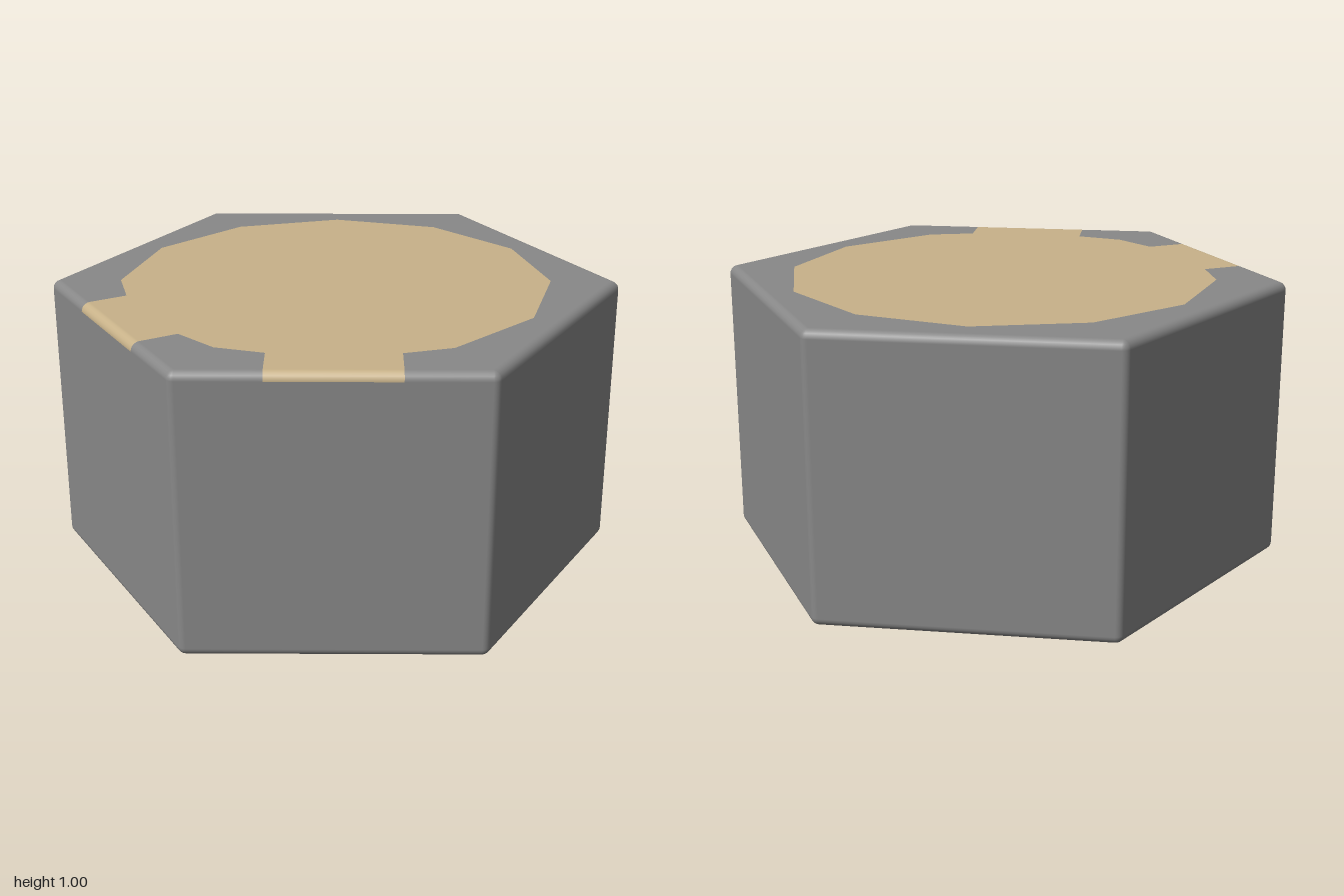
import * as THREE from 'three';

const CORE = 0.84;            // apothem of the flat faces inside the rounded edge
const R = 0.03;               // edge rounding
const H = 1.005;              // height
const DISC = 0.76;            // radius of the twelve-sided clearing
const MOUTH = 0.705;          // where a path leaves the clearing
const HALF = 0.215;           // half width of a path
const PATHS = [120, 180];     // sides crossed by a path, degrees from +x towards +z

const rad = THREE.MathUtils.degToRad;
const polar = (a, r) => [Math.cos(rad(a)) * r, Math.sin(rad(a)) * r];

// Point given by distance d towards side a and offset s along that side
function onSide(a, d, s) {
  const c = Math.cos(rad(a)), n = Math.sin(rad(a));
  return [c * d - n * s, n * d + c * s];
}
const discPoint = (a) => polar(a, DISC);
const corner = (a) => polar(a, CORE / Math.cos(Math.PI / 6));

// Columns of the outer skin: core point plus outward direction
const pathColumn = (a, s) => ({ p: onSide(a, CORE, s), n: polar(a, 1) });
const cornerColumns = (a) =>
  [-30, -15, 0, 15, 30].map((d) => ({ p: corner(a), n: polar(a + d, 1) }));

// Quarter-round profile rows: outward reach, height, normal slope
function arc(y, from, to) {
  const rows = [];
  for (let i = 0; i <= 5; i++) {
    const t = rad(from + ((to - from) * i) / 5);
    rows.push({ out: Math.cos(t), y: y + R * Math.sin(t), ny: Math.sin(t) });
  }
  return rows;
}

// Skin spanned by columns and profile rows, with smooth normals
function skin(columns, rows) {
  const pos = [], nor = [], idx = [], m = rows.length;
  columns.forEach(({ p, n }, i) => rows.forEach((r, j) => {
    pos.push(p[0] + n[0] * r.out * R, r.y, p[1] + n[1] * r.out * R);
    nor.push(n[0] * r.out, r.ny, n[1] * r.out);
    if (i < columns.length - 1 && j < m - 1) {
      const k = i * m + j;
      idx.push(k, k + 1, k + m, k + 1, k + m + 1, k + m);
    }
  }));
  const g = new THREE.BufferGeometry();
  g.setAttribute('position', new THREE.Float32BufferAttribute(pos, 3));
  g.setAttribute('normal', new THREE.Float32BufferAttribute(nor, 3));
  g.setIndex(idx);
  return g;
}

// Flat horizontal polygon from [x, z] points
function flat(points, y, down = false) {
  const shape = new THREE.Shape(points.map(([x, z]) => new THREE.Vector2(x, down ? z : -z)));
  return new THREE.ShapeGeometry(shape).rotateX(down ? Math.PI / 2 : -Math.PI / 2).translate(0, y, 0);
}

export function createModel() {
  const model = new THREE.Group();
  model.name = 'hexTile';
  const stone = new THREE.MeshStandardMaterial({ color: 0x888888 });
  const sand = new THREE.MeshStandardMaterial({ color: 0xc8b289 });
  const add = (name, geometry, material) => {
    const mesh = new THREE.Mesh(geometry, material);
    mesh.name = name;
    model.add(mesh);
  };
  const corners = [30, 90, 150, 210, 270, 330];
  const topEdge = arc(H - R, 0, 90);

  // Block: walls with rounded lower edge, and underside
  const ring = corners.flatMap(cornerColumns);
  add('walls', skin([...ring, ring[0]], [...arc(R, -90, 0), { out: 1, y: H - R, ny: 0 }]), stone);
  add('underside', flat(corners.map(corner), 0, true), stone);

  // Sandy clearing with its two paths
  const clearing = [];
  for (let a = 0; a < 360; a += 30) {
    if (PATHS.includes(a)) {
      clearing.push(onSide(a, MOUTH, -HALF), onSide(a, CORE, -HALF),
        onSide(a, CORE, HALF), onSide(a, MOUTH, HALF));
    } else clearing.push(discPoint(a));
  }
  add('clearing', flat(clearing, H), sand);
  for (const a of PATHS) {
    add('pathEnd', skin([pathColumn(a, -HALF), pathColumn(a, HALF)], topEdge), sand);
  }

  // Stone border: the small piece between the paths and the long piece around the rest
  const [first, last] = PATHS;
  add('smallBorder', flat([
    onSide(first, CORE, HALF), corner(150), onSide(last, CORE, -HALF),
    onSide(last, MOUTH, -HALF), discPoint(150), onSide(first, MOUTH, HALF),
  ], H), stone);
  add('smallBorderEdge', skin(
    [pathColumn(first, HALF), ...cornerColumns(150), pathColumn(last, -HALF)], topEdge), stone);

  const around = [210, 270, 330, 390, 450];
  const inner = [];
  for (let a = 450; a >= 210; a -= 30) inner.push(discPoint(a));
  add('longBorder', flat([
    onSide(last, CORE, HALF), ...around.map(corner), onSide(first, CORE, -HALF),
    onSide(first, MOUTH, -HALF), ...inner, onSide(last, MOUTH, HALF),
  ], H), stone);
  add('longBorderEdge', skin(
    [pathColumn(last, HALF), ...around.flatMap(cornerColumns), pathColumn(first, -HALF)], topEdge), stone);

  return model;
}
